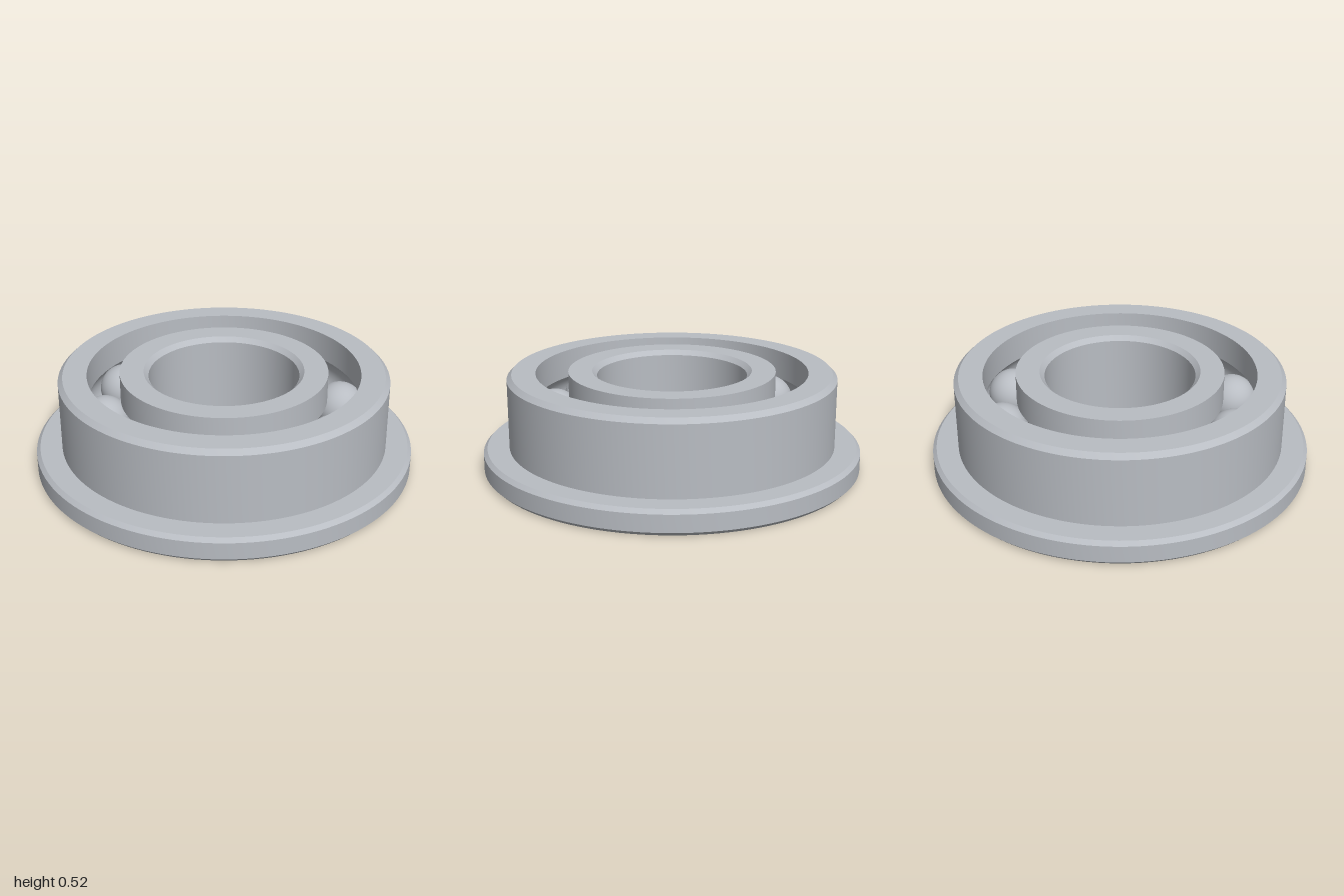
import * as THREE from 'three';
import { toCreasedNormals } from 'three/addons/utils/BufferGeometryUtils.js';

const HEIGHT = 0.52, PITCH = 0.63, BALL = 0.133, BALLS = 10;
const GROOVE = 0.135, LIP = 0.085; // race radius, distance from pitch circle to ring wall

// Arc of the ball race, from angle a to angle b around the ball centre
function race(a, b, steps = 14) {
  return Array.from({ length: steps + 1 }, (_, i) => {
    const t = a + (b - a) * i / steps;
    return [PITCH + GROOVE * Math.cos(t), HEIGHT / 2 + GROOVE * Math.sin(t)];
  });
}

// Closed ring turned from a counter-clockwise (radius, height) profile
function ring(name, profile, material) {
  const points = [...profile, profile[0]].map(([r, y]) => new THREE.Vector2(r, y));
  const geometry = toCreasedNormals(new THREE.LatheGeometry(points, 120), 0.4);
  const mesh = new THREE.Mesh(geometry, material);
  mesh.name = name;
  return mesh;
}

export function createModel() {
  const model = new THREE.Group();
  model.name = 'flangedBallBearing';
  const steel = new THREE.MeshStandardMaterial({ color: 0xb9bdc3 });
  steel.name = 'steel';
  const open = Math.acos(LIP / GROOVE);

  // Outer ring with chamfered flange at the bottom
  model.add(ring('outerRing', [
    [0.715, 0], [0.98, 0], [1, 0.02], [1, 0.11], [0.98, 0.13], [0.865, 0.13],
    [0.865, HEIGHT - 0.025], [0.84, HEIGHT], [0.715, HEIGHT],
    ...race(open, -open),
  ], steel));

  // Inner ring with chamfered bore
  model.add(ring('innerRing', [
    [0.42, 0], [0.545, 0],
    ...race(Math.PI + open, Math.PI - open),
    [0.545, HEIGHT], [0.42, HEIGHT], [0.395, HEIGHT - 0.025], [0.395, 0.025],
  ], steel));

  // Balls evenly spaced on the pitch circle
  const balls = new THREE.Group();
  balls.name = 'balls';
  const sphere = new THREE.SphereGeometry(BALL, 40, 24);
  for (let i = 0; i < BALLS; i++) {
    const a = i / BALLS * Math.PI * 2;
    const ball = new THREE.Mesh(sphere, steel);
    ball.name = 'ball';
    ball.position.set(PITCH * Math.cos(a), HEIGHT / 2, PITCH * Math.sin(a));
    balls.add(ball);
  }
  model.add(balls);
  return model;
}
